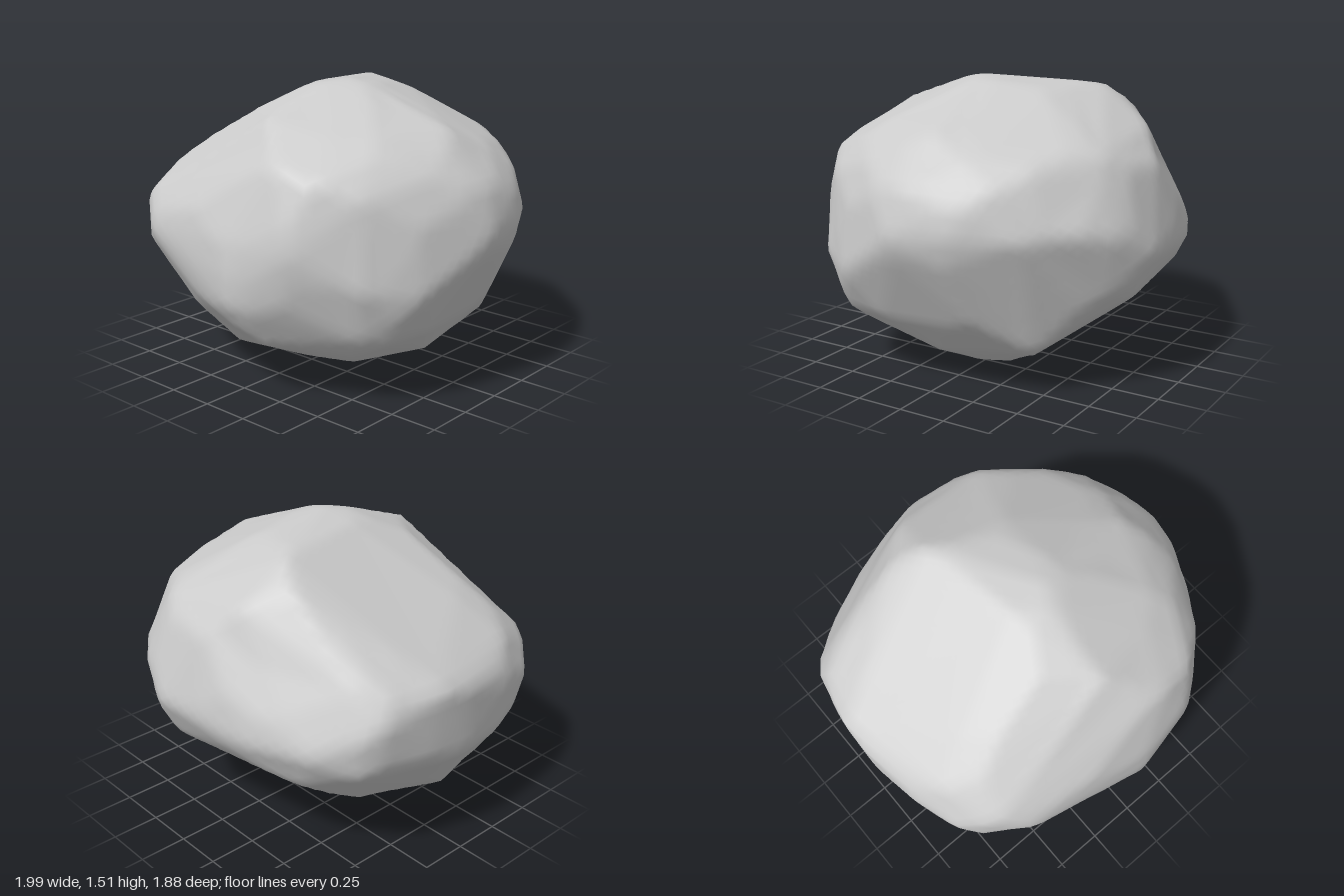
import * as THREE from 'three';
import { mergeVertices } from 'three/addons/utils/BufferGeometryUtils.js';
import { ConvexGeometry } from 'three/addons/geometries/ConvexGeometry.js';

// Boulder outlines [across, up], measured from the boulder's centre
const frontOutline = [[-1, .2], [-.99, -.19], [-.63, -.615], [-.42, -.695], [-.28, -.73], [-.1, -.755], [.45, -.665], [.6, -.585],
  [.78, -.395], [.97, -.025], [1, .075], [.94, .295], [.77, .475], [.22, .735], [.11, .755], [-.1, .725]];
const sideOutline = [[-.945, -.1], [-.94, -.25], [-.86, -.385], [-.69, -.525], [-.3, -.715], [-.04, -.755], [.18, -.725],
  [.83, -.275], [.945, -.045], [.84, .345], [.71, .515], [.45, .705], [-.08, .755], [-.21, .735], [-.59, .605], [-.8, .415], [-.92, .065]];
const topOutline = [[-1, 0], [-.99, .22], [-.93, .48], [-.87, .58], [-.67, .75], [-.4, .86], [-.12, .92], [.2, .945], [.43, .86], [.6, .74],
  [.8, .52], [.95, .24], [1, -.06], [.87, -.44], [.71, -.67], [.43, -.88], [.1, -.94], [-.58, -.83], [-.88, -.57], [-.96, -.34]];
const diagonalA = [[.15, .8], [.77, .505], [.83, .39], [.94, .08], [.93, -.02], [.74, -.49], [.39, -.73], [.01, -.8],
  [-.5, -.68], [-.77, -.46], [-1.03, -.08], [-1.03, .1], [-.9, .33], [-.59, .52], [.1, .8]];
const diagonalB = [[-.11, .77], [.1, .76], [.38, .72], [1, .155], [1.03, .08], [1.03, -.1], [.98, -.28], [.8, -.52],
  [.59, -.66], [.18, -.77], [.04, -.76], [-.75, -.45], [-.855, -.31], [-.94, .13], [-.855, .41], [-.71, .55], [-.44, .69]];
const diagonalC = [[.09, .77], [.36, .73], [.56, .655], [.92, .155], [1.02, -.05], [1, -.245], [.37, -.795], [-.02, -.805],
  [-.31, -.76], [-.69, -.6], [-.895, -.345], [-.965, -.105], [-.92, .285], [-.79, .495], [-.5, .7]];

// One outline gives rim points and the planes (normal / distance) of its edges
function profile(outline, lookX, lookY, lookZ, upHint = new THREE.Vector3(0, 1, 0)) {
  const look = new THREE.Vector3(lookX, lookY, lookZ).normalize();
  const right = new THREE.Vector3().crossVectors(upHint, look).normalize();
  const up = new THREE.Vector3().crossVectors(look, right);
  const place = (x, y) => right.clone().multiplyScalar(x).addScaledVector(up, y);
  const cuts = outline.map(([ax, ay], i) => {
    const [bx, by] = outline[(i + 1) % outline.length];
    const nx = by - ay, ny = ax - bx;
    const h = nx * ax + ny * ay;
    return place(nx / h, ny / h);
  });
  return { look, cuts, rim: outline.map(([x, y]) => place(x, y)) };
}

// Greatest reach of a point against a set of planes; 1 lies on the surface
const reach = (cuts, p) => cuts.reduce((most, c) => Math.max(most, c.dot(p)), 0);

// Slide a rim point along its line of sight to where it sits deepest inside the other cuts
function settle(point, look, cuts) {
  let best = point, least = Infinity;
  for (let t = -1; t <= 1; t += 0.01) {
    const p = point.clone().addScaledVector(look, t);
    const r = reach(cuts, p);
    if (r < least) [best, least] = [p, r];
  }
  return best;
}

// Planes of the convex skin around a set of points
function skinPlanes(points) {
  const pos = new ConvexGeometry(points).attributes.position;
  const planes = [];
  for (let i = 0; i < pos.count; i += 3) {
    const [a, b, c] = [0, 1, 2].map((k) => new THREE.Vector3().fromBufferAttribute(pos, i + k));
    const plane = new THREE.Plane().setFromCoplanarPoints(a, b, c);
    if (plane.constant < -0.1) planes.push(plane.normal.divideScalar(-plane.constant));
  }
  return planes;
}

export function createModel() {
  const group = new THREE.Group();
  group.name = 'boulder';

  const tilt = Math.SQRT2 * Math.tan(THREE.MathUtils.degToRad(25));
  const profiles = [
    profile(frontOutline, 0, 0, 1),
    profile(sideOutline, 1, 0, 0),
    profile(topOutline, 0, 1, 0, new THREE.Vector3(0, 0, -1)),
    profile(diagonalA, 1, tilt, 1),
    profile(diagonalB, -1, tilt, -1),
    profile(diagonalC, 1, -tilt, -1),
  ];

  // Outer block from all cuts, inner core through the settled rim points
  const outerCuts = profiles.flatMap((p) => p.cuts);
  const corners = profiles.flatMap((p) => {
    const others = profiles.filter((q) => q !== p).flatMap((q) => q.cuts);
    return p.rim.map((point) => settle(point, p.look, others));
  });
  const innerCuts = skinPlanes(corners);

  // Shape a ball halfway between core and block, which wears the ridges down
  let geometry = new THREE.IcosahedronGeometry(1, 20);
  geometry.deleteAttribute('normal');
  geometry.deleteAttribute('uv');
  geometry = mergeVertices(geometry, 1e-5);
  const pos = geometry.attributes.position;
  const d = new THREE.Vector3();
  for (let i = 0; i < pos.count; i++) {
    d.fromBufferAttribute(pos, i).normalize();
    const inner = 1 / reach(innerCuts, d);
    const outer = Math.max(inner, 1 / reach(outerCuts, d));
    d.multiplyScalar((inner + outer) / 2);
    pos.setXYZ(i, d.x, d.y, d.z);
  }
  geometry.translate(0, 0.755, 0);
  geometry.computeVertexNormals();

  const rock = new THREE.Mesh(geometry, new THREE.MeshStandardMaterial({ color: 0xcccccc }));
  rock.name = 'rock';
  group.add(rock);
  return group;
}
